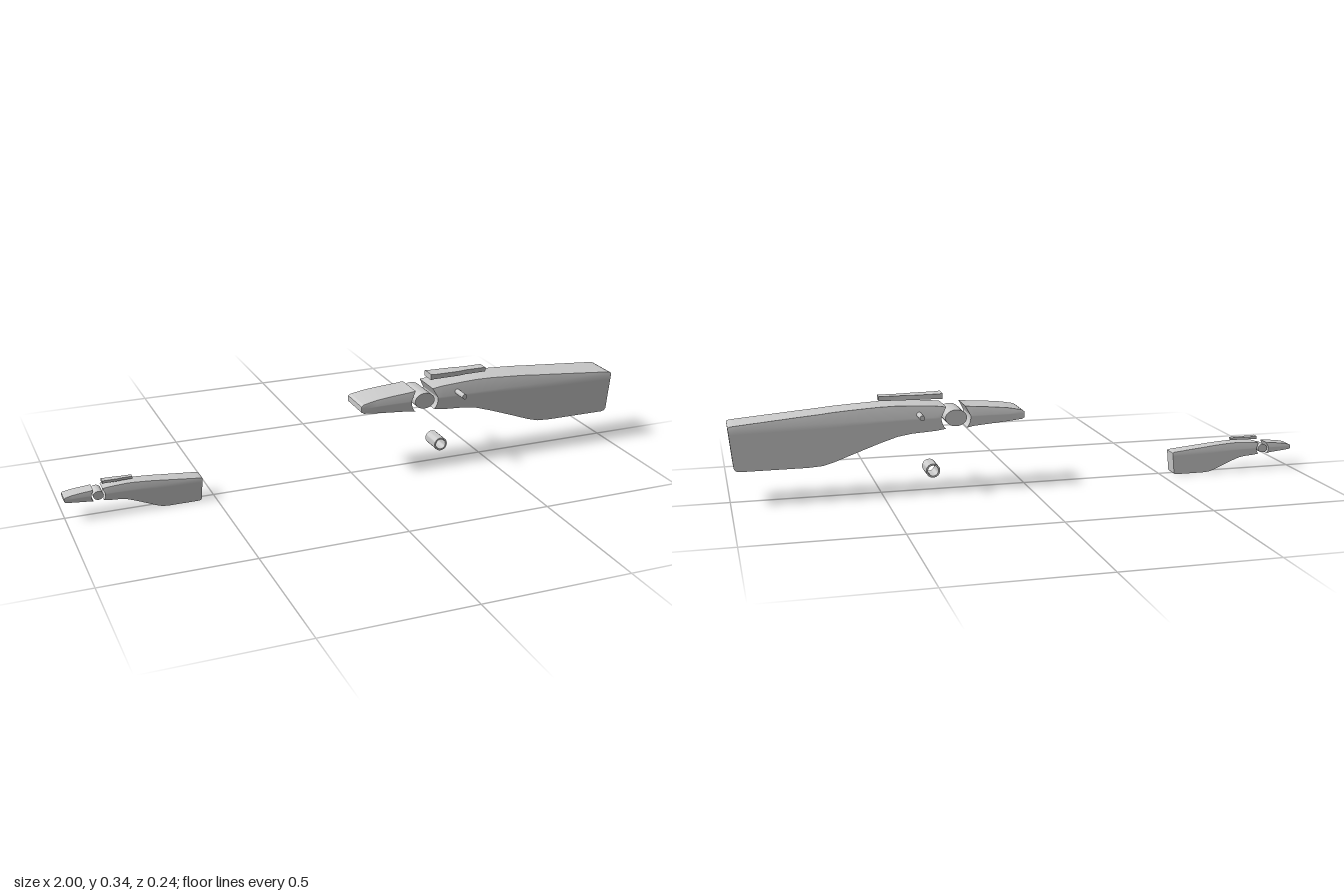
import * as THREE from 'three';
import { toCreasedNormals } from 'three/addons/utils/BufferGeometryUtils.js';

const material = new THREE.MeshStandardMaterial({ color: 0xcccccc });
const ROWS = 8; // rows up each flank
const HALF = 0.063; // half width of the handle
const PIVOT = { x: 0.25, y: 0.256, r: 0.05 };

function mesh(name, geometry) {
  const m = new THREE.Mesh(geometry, material);
  m.name = name;
  return m;
}

// Cross-section from bottom +z, up, across and down the -z flank.
// cut = -1 / +1 bends the section round the pivot; lean tilts it along x.
function ring({ x, yb, yc, yt, w = HALF, wt = w - 0.25 * (yt - yc), cut = 0, lean = 0 }) {
  const flank = [];
  for (let i = 0; i <= ROWS; i++) flank.push([yb + (yc - yb) * i / ROWS, w]);
  flank.push([yt, wt]);
  const pts = flank.map(([y, z]) => {
    const dy = y - PIVOT.y;
    const bend = cut * Math.sqrt(Math.max(0, PIVOT.r ** 2 - dy * dy));
    return [x + bend + lean * (y - 0.262), y, z];
  });
  return [...pts, ...pts.slice().reverse().map(([px, y, z]) => [px, y, -z])];
}

// Skin over a run of cross-sections, capped at both ends.
function loft(stations) {
  const rings = stations.map(ring);
  const m = rings[0].length;
  const index = [];
  const quad = (a, b, c, d) => index.push(a, b, c, a, c, d);
  for (let s = 0; s < rings.length - 1; s++) {
    for (let j = 0; j < m; j++) {
      const k = (j + 1) % m;
      quad(s * m + j, (s + 1) * m + j, (s + 1) * m + k, s * m + k);
    }
  }
  const e = (rings.length - 1) * m;
  for (let i = 0; i < m / 2 - 1; i++) {
    quad(i, i + 1, m - 2 - i, m - 1 - i);
    quad(e + m - 1 - i, e + m - 2 - i, e + i + 1, e + i);
  }
  const g = new THREE.BufferGeometry();
  g.setAttribute('position', new THREE.Float32BufferAttribute(rings.flat(2), 3));
  g.setIndex(index);
  return toCreasedNormals(g, 0.4);
}

const st = (x, yb, yc, yt, more = {}) => ({ x, yb, yc, yt, ...more });

function createHandle(name, detailed) {
  const handle = new THREE.Group();
  handle.name = name;

  // Tapered nose, hollowed where it meets the pivot
  handle.add(mesh('nose', loft([
    st(0.013, 0.246, 0.260, 0.266),
    st(0.022, 0.241, 0.260, 0.272),
    st(0.07, 0.236, 0.261, 0.281),
    st(0.13, 0.231, 0.262, 0.287),
    st(0.19, 0.226, 0.262, 0.291),
    st(0.25, 0.221, 0.262, 0.294, { cut: -1 }),
  ])));

  // Main body, with a deep lower rear
  const body = [
    st(0.25, 0.221, 0.262, 0.294, { cut: 1 }),
    st(0.32, 0.216, 0.262, 0.299),
    st(0.40, 0.211, 0.262, 0.303),
    st(0.45, 0.203, 0.262, 0.305),
    st(0.51, 0.184, 0.262, 0.304),
    st(0.60, 0.152, 0.262, 0.299),
    st(0.66, 0.130, 0.261, 0.295),
    st(0.70, 0.119, 0.261, 0.291),
    st(0.75, 0.116, 0.260, 0.287),
    st(0.972, 0.116, 0.256, 0.268, { lean: 0.03 }),
    st(0.99, 0.119, 0.254, 0.266, { lean: 0.07 }),
    st(0.999, 0.128, 0.253, 0.262, { lean: 0.1 }),
  ];
  // Rear slot: the skin turns inward and runs back into the body
  if (detailed) {
    const slot = { w: 0.019, wt: 0.019, lean: 0.1 };
    body.push(st(0.999, 0.143, 0.23, 0.236, slot), st(0.88, 0.143, 0.23, 0.236, slot));
  }
  handle.add(mesh('body', loft(body)));

  // Oval pivot between nose and body
  const oval = new THREE.CylinderGeometry(1, 1, 2 * HALF - 0.002, 32);
  oval.rotateX(Math.PI / 2).scale(0.037, 0.028, 1).translate(PIVOT.x, PIVOT.y, 0);
  handle.add(mesh('pivot', toCreasedNormals(oval, 0.6)));

  // Stepped tongue floating above the body
  handle.add(mesh('topPlate', loft([
    st(0.288, 0.315, 0.334, 0.336, { w: 0.026, wt: 0.026 }),
    st(0.30, 0.317, 0.332, 0.334, { w: 0.026, wt: 0.026 }),
    st(0.395, 0.317, 0.331, 0.333, { w: 0.024, wt: 0.024 }),
    st(0.425, 0.317, 0.331, 0.333, { w: 0.019, wt: 0.019 }),
    st(0.503, 0.318, 0.331, 0.333, { w: 0.019, wt: 0.019 }),
  ])));

  // Cross pin through the body
  if (detailed) {
    const pin = new THREE.CylinderGeometry(0.009, 0.009, 0.238, 20);
    pin.rotateX(Math.PI / 2).translate(0.375, 0.273, 0);
    handle.add(mesh('crossPin', toCreasedNormals(pin, 0.6)));
  }
  return handle;
}

export function createModel() {
  const model = new THREE.Group();
  model.name = 'handleParts';

  const large = createHandle('largeHandle', true);
  large.position.z = 0.002;

  const small = createHandle('smallHandle', false);
  small.scale.set(0.464, 0.535, 0.45);
  small.position.set(-1.006, -0.062, 0.001);

  // Loose sleeve lying below the large handle
  const outline = [[0.018, -0.0385], [0.024, -0.0385], [0.024, 0.0385], [0.018, 0.0385], [0.018, -0.0385]];
  const tube = new THREE.LatheGeometry(outline.map(([r, y]) => new THREE.Vector2(r, y)), 32);
  const sleeve = mesh('sleeve', toCreasedNormals(tube.rotateX(Math.PI / 2), 0.6));
  sleeve.position.set(0.327, 0.073, 0.001);

  model.add(large, small, sleeve);
  return model;
}
